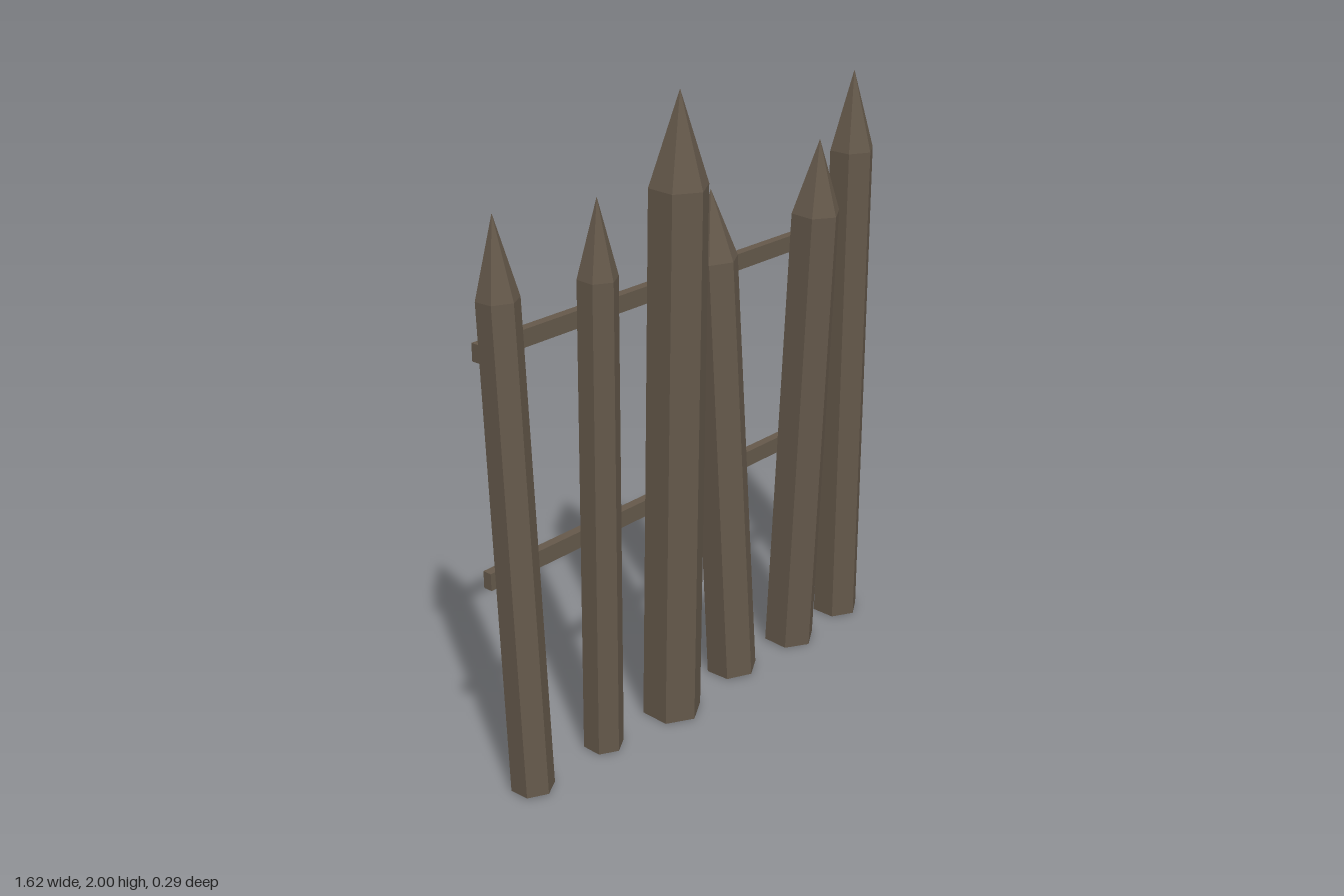
import * as THREE from 'three';

// base x, base z, tip x, tip y, tip z, shoulder height, base radius, shoulder radius
const STAKES = [
  [-0.748, -0.035, -0.757, 1.745, -0.09, 1.51, 0.066, 0.062],
  [-0.445, -0.037, -0.476, 1.75, 0.018, 1.52, 0.0635, 0.06],
  [-0.156, -0.015, -0.185, 2.0, 0.06, 1.725, 0.095, 0.09],
  [0.165, -0.036, 0.106, 1.635, -0.079, 1.42, 0.084, 0.077],
  [0.452, -0.022, 0.434, 1.75, 0.074, 1.52, 0.086, 0.079],
  [0.722, -0.028, 0.69, 1.912, 0.008, 1.66, 0.079, 0.073],
];

export function createModel() {
  const wood = new THREE.MeshStandardMaterial({ color: 0x65594b, flatShading: true, side: THREE.DoubleSide });
  wood.name = 'weathered wood';
  const model = new THREE.Group();
  model.name = 'palisadeFence';
  const up = new THREE.Vector3(0, 1, 0);

  // Leaning six-sided stakes, sharpened at the top and open underneath
  STAKES.forEach(([bx, bz, tx, ty, tz, shoulderY, baseR, shoulderR], i) => {
    const base = new THREE.Vector3(bx, 0.004, bz);
    const axis = new THREE.Vector3(tx, ty, tz).sub(base);
    const length = axis.length();
    const profile = [
      new THREE.Vector2(baseR, 0),
      new THREE.Vector2(shoulderR, length * shoulderY / ty),
      new THREE.Vector2(0, length),
    ];
    const stake = new THREE.Mesh(new THREE.LatheGeometry(profile, 6), wood);
    stake.name = `stake${i + 1}`;
    stake.position.copy(base);
    stake.quaternion.setFromUnitVectors(up, axis.normalize());
    model.add(stake);
  });

  // Two thin rails across the back
  [['lowerRail', 0.678], ['upperRail', 1.362]].forEach(([name, y]) => {
    const rail = new THREE.Mesh(new THREE.BoxGeometry(1.615, 0.053, 0.03), wood);
    rail.name = name;
    rail.position.set(0, y, -0.123);
    model.add(rail);
  });

  return model;
}
